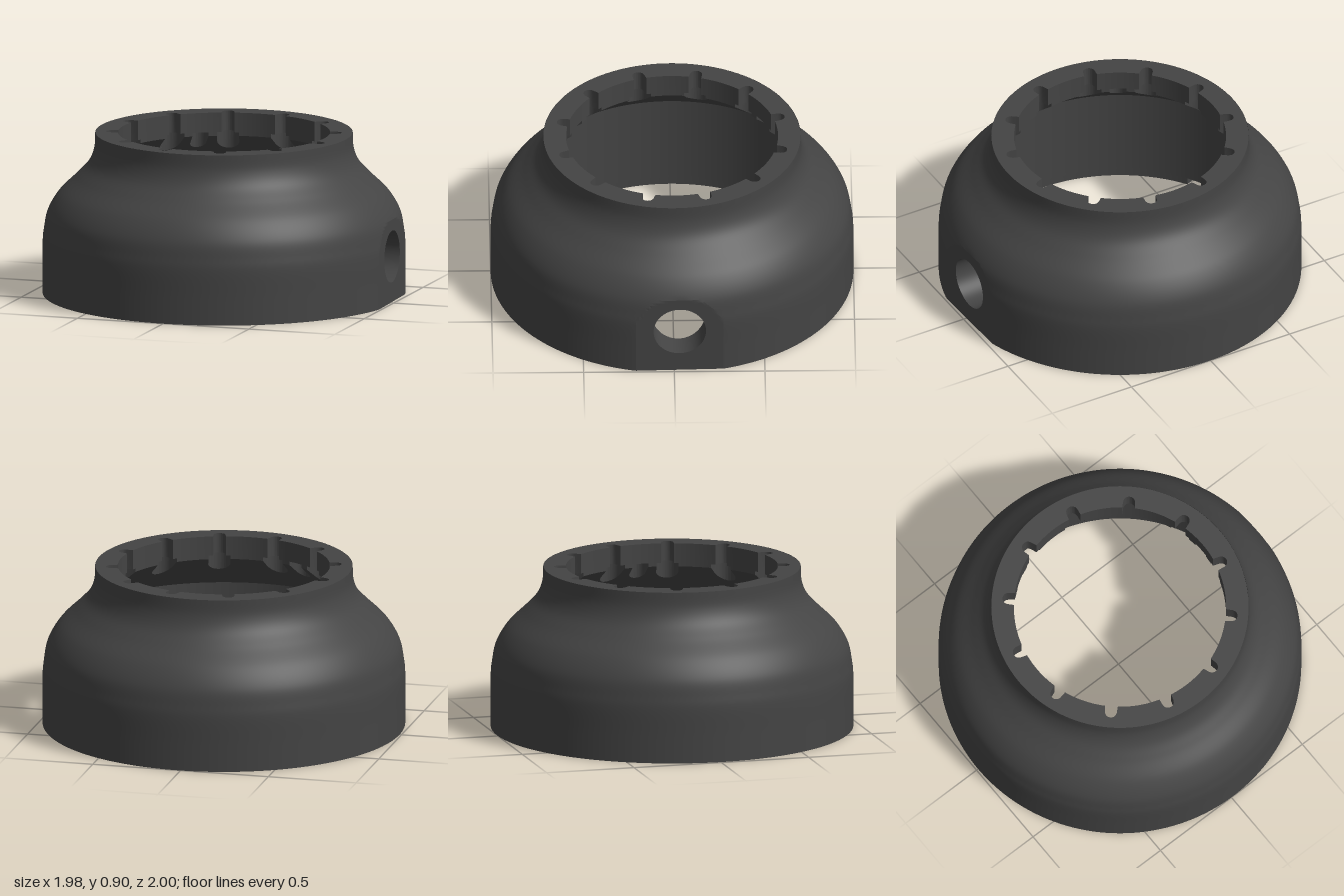
import * as THREE from 'three';
import { toCreasedNormals } from 'three/addons/utils/BufferGeometryUtils.js';

const FLAT = 0.97;                       // distance of the flat from the axis
const HOLE = { y: 0.255, r: 0.145 };     // side opening in the flat
const WALL = 0.826;                      // inner wall radius
const CONE_Y = 0.568, LIP_Y = 0.79, TOP = 0.9, STEP = 0.06;
const LIP_R = 0.585;
const STEPS = 720;
const rad = Math.PI / 180;
const every = (start, step) => Array.from({ length: 360 / step }, (_, i) => start + i * step);

// Radius of a circle of radius base, cut outward by round cutters {az, c, w}
function cutRadius(az, base, cutters) {
  let r = base;
  for (const k of cutters) {
    const d = (az - k.az) * rad, s = k.c * Math.sin(d);
    if (Math.cos(d) > 0 && Math.abs(s) < k.w) r = Math.max(r, k.c * Math.cos(d) + Math.sqrt(k.w * k.w - s * s));
  }
  return r;
}

// Closed plan outline; azimuth 0 is +z, 90 is +x
function outline(target, radiusAt, maxX = 9) {
  const pts = [];
  for (let i = 0; i < STEPS; i++) {
    const az = (i * 360) / STEPS, r = radiusAt(az);
    pts.push(new THREE.Vector2(Math.min(r * Math.sin(az * rad), maxX), -r * Math.cos(az * rad)));
  }
  return target.setFromPoints(pts);
}

// Ring plate with a cut inner edge and optional round holes
function ring(y, depth, outer, inner, cutters, holes = [], maxX = 9) {
  const shape = outline(new THREE.Shape(), () => outer, maxX);
  shape.holes.push(outline(new THREE.Path(), az => cutRadius(az, inner, cutters)));
  for (const h of holes) {
    shape.holes.push(new THREE.Path().absarc(
      h.c * Math.sin(h.az * rad), -h.c * Math.cos(h.az * rad), h.r, 0, Math.PI * 2, true));
  }
  const g = new THREE.ExtrudeGeometry(shape, { depth, bevelEnabled: false, curveSegments: 10 });
  return g.rotateX(-Math.PI / 2).translate(0, y, 0);
}

// Cut the side opening: drop triangles inside it, push edge vertices onto its rim
function punch(geometry, xAt) {
  const g = geometry.toNonIndexed(), p = g.attributes.position, kept = [];
  const inside = i => p.getX(i) > 0 && Math.hypot(p.getY(i) - HOLE.y, p.getZ(i)) < HOLE.r;
  for (let t = 0; t < p.count; t += 3) {
    const ids = [t, t + 1, t + 2];
    if (ids.every(inside)) continue;
    for (const i of ids) {
      let x = p.getX(i), y = p.getY(i), z = p.getZ(i);
      if (inside(i)) {
        const s = HOLE.r / Math.hypot(y - HOLE.y, z);
        y = HOLE.y + (y - HOLE.y) * s;
        z *= s;
        x = xAt(z);
      }
      kept.push(x, y, z);
    }
  }
  const out = new THREE.BufferGeometry();
  out.setAttribute('position', new THREE.Float32BufferAttribute(kept, 3));
  return out;
}

const innerX = z => Math.sqrt(WALL * WALL - z * z);

// Domed outer skin with one side planed flat
function outerShell() {
  const profile = new THREE.SplineCurve([
    [1, 0], [1, 0.15], [1, 0.29], [0.993, 0.36], [0.972, 0.46], [0.912, 0.56], [0.815, 0.655],
    [0.748, 0.73], [0.716, 0.81], [0.71, TOP],
  ].map(p => new THREE.Vector2(...p)));
  const g = new THREE.LatheGeometry(profile.getSpacedPoints(60), 360);
  const p = g.attributes.position;
  for (let i = 0; i < p.count; i++) p.setX(i, Math.min(p.getX(i), FLAT));
  return toCreasedNormals(punch(g, () => FLAT), 0.16);
}

// Straight inner wall
function innerWall() {
  const rows = 34, pts = [];
  for (let i = 0; i <= rows; i++) pts.push(new THREE.Vector2(WALL, CONE_Y + (STEP - CONE_Y) * i / rows));
  return toCreasedNormals(punch(new THREE.LatheGeometry(pts, 360), innerX), 0.3);
}

// Sloping ceiling, scalloped by screw-head pockets that rise to the lip
function ceiling(pockets) {
  const pos = [], index = [];
  const slope = r => CONE_Y + (WALL - r) * (0.77 - CONE_Y) / (WALL - LIP_R);
  for (let i = 0; i <= STEPS; i++) {
    const az = (i * 360) / STEPS, r = cutRadius(az, LIP_R, pockets);
    for (const [q, y] of [[WALL, CONE_Y], [r, slope(r)], [r, LIP_Y]]) {
      pos.push(q * Math.sin(az * rad), y, q * Math.cos(az * rad));
    }
    if (i === STEPS) break;
    for (let j = 0; j < 2; j++) {
      const a = i * 3 + j, b = a + 3;
      index.push(a, a + 1, b, b, a + 1, b + 1);
    }
  }
  const g = new THREE.BufferGeometry();
  g.setAttribute('position', new THREE.Float32BufferAttribute(pos, 3));
  g.setIndex(index);
  return toCreasedNormals(g, 0.5);
}

// Bore through the side wall, its inner end following the round wall
function sideBore() {
  const g = new THREE.CylinderGeometry(HOLE.r, HOLE.r, 1, 96, 1, true);
  g.rotateZ(-Math.PI / 2).translate(0, HOLE.y, 0);
  const p = g.attributes.position;
  for (let i = 0; i < p.count; i++) p.setX(i, p.getX(i) > 0 ? FLAT : innerX(p.getZ(i)));
  return g;
}

export function createModel() {
  const material = new THREE.MeshStandardMaterial({ color: 0x444444, side: THREE.DoubleSide });
  const body = new THREE.Group();
  body.name = 'housing';
  const add = (name, geometry) => {
    const mesh = new THREE.Mesh(geometry, material);
    mesh.name = name;
    body.add(mesh);
  };

  // Twelve slots in the lip, each above a pocket, plus three smaller pockets
  const slots = every(15, 30).map(az => ({ az, c: 0.617, w: 0.033 }));
  const pockets = [
    ...every(15, 30).map(az => ({ az, c: 0.625, w: 0.062 })),
    ...every(90, 120).map(az => ({ az, c: 0.63, w: 0.048 })),
  ];
  // Base screw holes, two dowel holes and four locking recesses
  const baseHoles = [
    ...every(15, 30).map(az => ({ az, c: 0.925, r: 0.018 })),
    ...[180, 330].map(az => ({ az, c: 0.925, r: 0.032 })),
  ];
  const recesses = every(30, 90).map(az => ({ az, c: 0.875, w: 0.045 }));

  add('outerShell', outerShell());
  add('innerWall', innerWall());
  add('ceiling', ceiling(pockets));
  add('slottedLip', toCreasedNormals(ring(LIP_Y, TOP - LIP_Y, 0.709, LIP_R, slots), 0.5));
  add('baseRing', toCreasedNormals(ring(0, STEP, 0.999, 0.85, recesses, baseHoles, FLAT - 0.001), 0.7));
  add('baseStep', toCreasedNormals(ring(STEP, 0.01, 0.96, WALL, []), 0.5));
  add('sideBore', sideBore());

  // The flat is turned slightly toward the back
  body.rotation.y = 1.8 * rad;
  body.position.x = 0.011;
  const model = new THREE.Group();
  model.name = 'model';
  model.add(body);
  return model;
}
